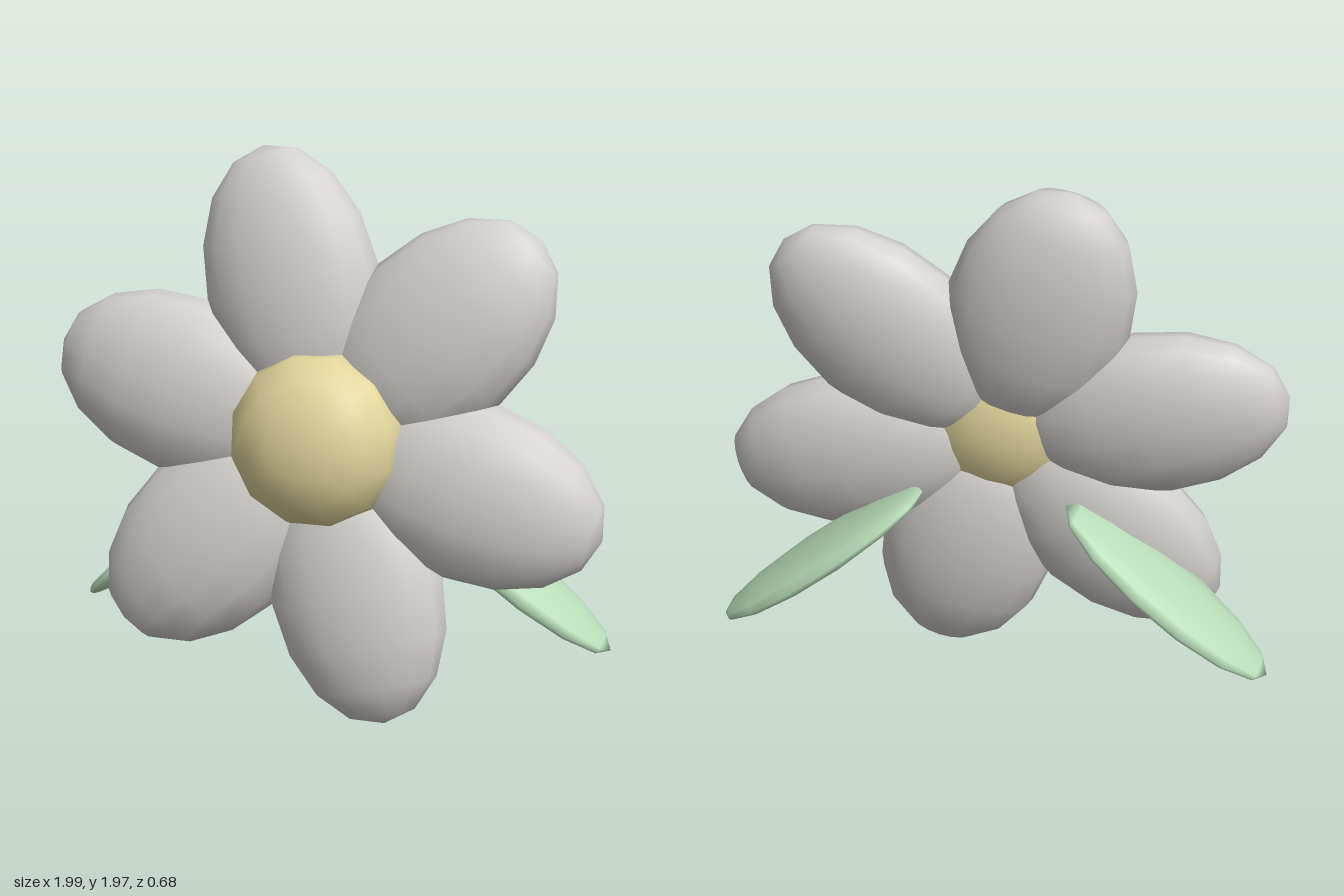
import * as THREE from 'three';

const petalMat = new THREE.MeshStandardMaterial({ color: 0xd3d1cd });
petalMat.name = 'petalWhite';
const centreMat = new THREE.MeshStandardMaterial({ color: 0xe2d59b });
centreMat.name = 'centreYellow';
const leafMat = new THREE.MeshStandardMaterial({ color: 0xbadfba });
leafMat.name = 'leafGreen';

// Smooth ellipsoid with its poles along y
function ellipsoid(name, rx, ry, rz, sides, rings, material) {
  const geometry = new THREE.SphereGeometry(1, sides, rings);
  geometry.scale(rx, ry, rz);
  const mesh = new THREE.Mesh(geometry, material);
  mesh.name = name;
  return mesh;
}

export function createModel() {
  const model = new THREE.Group();
  model.name = 'flower';

  // Flower head, leaning slightly back
  const head = new THREE.Group();
  head.name = 'flowerHead';
  head.position.set(0, 0.99, 0.04);
  head.rotation.x = -0.148;
  model.add(head);

  // Six overlapping petals around the centre
  const turn = Math.PI / 12;
  for (let i = 0; i < 6; i++) {
    const spoke = new THREE.Group();
    spoke.name = 'petal' + (i + 1);
    spoke.rotation.z = turn + (i * Math.PI) / 3;
    const petal = ellipsoid('petalBody', 0.318, 0.48, 0.168, 16, 8, petalMat);
    petal.position.y = 0.55;
    spoke.add(petal);
    head.add(spoke);
  }

  // Domed centre, poles facing front and back
  const centre = ellipsoid('centre', 0.315, 0.215, 0.315, 12, 8, centreMat);
  centre.rotation.set(Math.PI / 2, turn, 0);
  centre.position.set(0, 0.005, 0.085);
  head.add(centre);

  // Mirrored pair of thin leaves behind the lower petals
  for (const side of [1, -1]) {
    const leaf = ellipsoid(side > 0 ? 'leftLeaf' : 'rightLeaf', 0.203, 0.468, 0.055, 12, 7, leafMat);
    const along = new THREE.Vector3(side * 0.79, -0.61, -0.07).normalize();
    const normal = new THREE.Vector3().crossVectors(new THREE.Vector3(0, 0, 1), along).normalize();
    const across = new THREE.Vector3().crossVectors(along, normal);
    leaf.quaternion.setFromRotationMatrix(new THREE.Matrix4().makeBasis(across, along, normal));
    leaf.position.set(side * 0.625, 0.515, -0.142);
    model.add(leaf);
  }

  return model;
}
